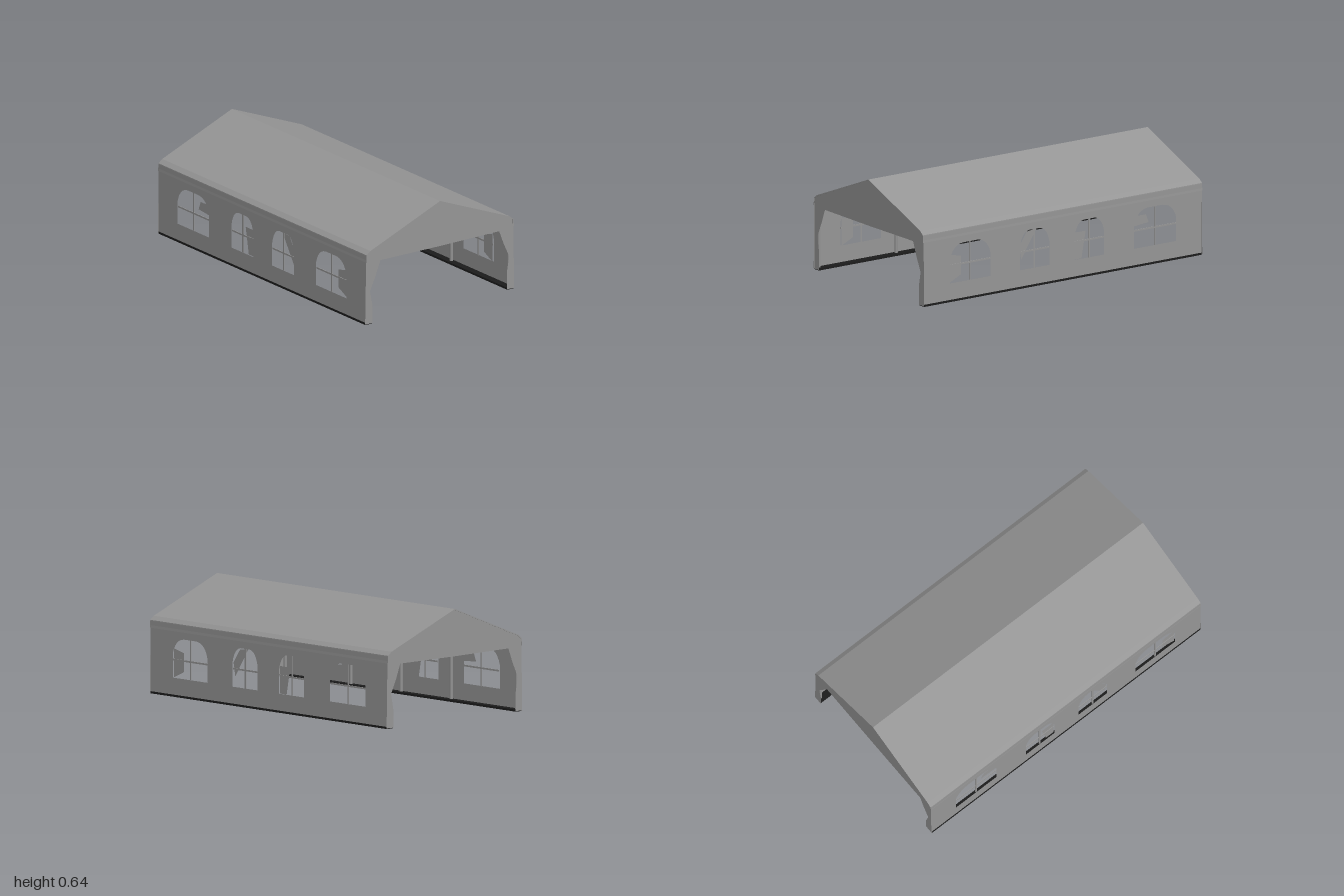
import * as THREE from 'three';

const canvas = new THREE.MeshStandardMaterial({ color: 0x959595, side: THREE.DoubleSide });
canvas.name = 'grey canvas';
const dark = new THREE.MeshStandardMaterial({ color: 0x1c1c1c });
dark.name = 'dark base';

const HALF = 0.993; // half length of the tent
// Half roof profile, valance to ridge
const SLOPE = [[0.53, 0.38], [0.527, 0.425], [0.5, 0.446], [0, 0.645]];

const polygon = (points) => new THREE.Shape(points.map(([x, y]) => new THREE.Vector2(x, y)));

function add(group, name, geometry, x = 0, y = 0, z = 0, material = canvas) {
  const mesh = new THREE.Mesh(geometry, material);
  mesh.name = name;
  mesh.position.set(x, y, z);
  group.add(mesh);
}

// Arched window outline, centred on u with width w
function archPath(u, w) {
  const h = w / 2, path = new THREE.Path();
  path.moveTo(u - h, 0.11);
  path.lineTo(u + h, 0.11);
  path.lineTo(u + h, 0.25);
  path.quadraticCurveTo(u + h * 0.85, 0.335, u + h * 0.35, 0.34);
  path.lineTo(u - h * 0.35, 0.34);
  path.quadraticCurveTo(u - h * 0.85, 0.335, u - h, 0.25);
  path.closePath();
  return path;
}

// Roof-shaped strip: profile with a thin inner offset, extruded along z
function roofStrip(drop, thickness, length) {
  const right = SLOPE.map(([x, y]) => [Math.max(0, x - drop), y - drop * (x < 0.51 ? 1 : 0)]);
  const full = [...right, ...right.slice(0, -1).reverse().map(([x, y]) => [-x, y])];
  const inner = full.map(([x, y]) => [
    x - Math.sign(x) * thickness,
    y - (Math.abs(x) < 0.51 - drop ? thickness : 0),
  ]).reverse();
  const g = new THREE.ExtrudeGeometry(polygon([...full, ...inner]), {
    depth: length, bevelEnabled: false,
  });
  return g.translate(0, 0, -length / 2);
}

export function createModel() {
  const tent = new THREE.Group();
  tent.name = 'marquee tent';

  // Roof canopy and its inner ribs
  add(tent, 'roof', roofStrip(0, 0.005, 2 * HALF + 0.006));
  for (const z of [-0.97, -0.42, 0, 0.42, 0.97]) {
    add(tent, 'roofRib', roofStrip(0.006, 0.008, 0.01), 0, 0, z);
  }

  // Gable panels at both ends
  const gable = polygon([
    [-0.528, 0.375], [0, 0.37], [0.528, 0.37],
    [0.525, 0.424], [0.5, 0.444], [0, 0.643], [-0.5, 0.444], [-0.525, 0.424],
  ]);
  for (const end of [-1, 1]) add(tent, 'gable', new THREE.ShapeGeometry(gable), 0, 0, end * HALF);

  // Windows: centre, width, and the corners of a loose flap hanging across each
  const windows = [
    { u: 0.66, w: 0.29, flap: [[0.805, 0.11], [0.805, 0.28], [0.72, 0.26], [0.72, 0.15]] },
    { u: 0.2, w: 0.21, flap: [[0.305, 0.25], [0.25, 0.33], [0.18, 0.34], [0.29, 0.17]] },
    { u: -0.19, w: 0.21, flap: [[-0.085, 0.11], [-0.085, 0.27], [-0.17, 0.27], [-0.14, 0.11]] },
    { u: -0.66, w: 0.3, flap: [[-0.51, 0.24], [-0.51, 0.3], [-0.6, 0.3], [-0.62, 0.25]] },
  ];
  for (const side of [-1, 1]) {
    const half = new THREE.Group();
    half.name = side > 0 ? 'leftSide' : 'rightSide';
    tent.add(half);

    // Side wall with arched openings
    const wall = polygon([[-HALF, 0.008], [HALF, 0.008], [HALF, 0.42], [-HALF, 0.42]]);
    for (const { u, w } of windows) wall.holes.push(archPath(u, w));
    add(half, 'sideWall', new THREE.ShapeGeometry(wall, 6).rotateY(-Math.PI / 2), side * 0.529);

    // Window bars and flaps
    for (const { u, w, flap } of windows) {
      add(half, 'windowCrossbar', new THREE.BoxGeometry(0.004, 0.01, w), side * 0.525, 0.215, u);
      add(half, 'windowBar', new THREE.BoxGeometry(0.004, 0.23, 0.01), side * 0.525, 0.225, u);
      add(half, 'windowFlap', new THREE.ShapeGeometry(polygon(flap)).rotateY(-Math.PI / 2), side * 0.521);
    }

    // Poles, dark base rail and eave rail
    for (const z of [-0.97, -0.42, 0, 0.42, 0.97]) {
      add(half, 'pole', new THREE.CylinderGeometry(0.01, 0.01, 0.4, 8), side * 0.513, 0.21, z);
    }
    add(half, 'baseRail', new THREE.BoxGeometry(0.046, 0.012, 1.98), side * 0.509, 0.006, 0, dark);
    add(half, 'eaveRail', new THREE.BoxGeometry(0.014, 0.014, 1.96), side * 0.512, 0.41, 0);

    // Tied-back curtains at the corners
    const curtain = polygon([
      [0.535, 0.004], [0.482, 0.004], [0.482, 0.11], [0.5, 0.2], [0.46, 0.285], [0.425, 0.375], [0.528, 0.39],
    ].map(([x, y]) => [side * x, y]));
    for (const end of [-1, 1]) {
      add(half, 'cornerCurtain', new THREE.ShapeGeometry(curtain), 0, 0, end * 0.992);
    }
  }
  return tent;
}
